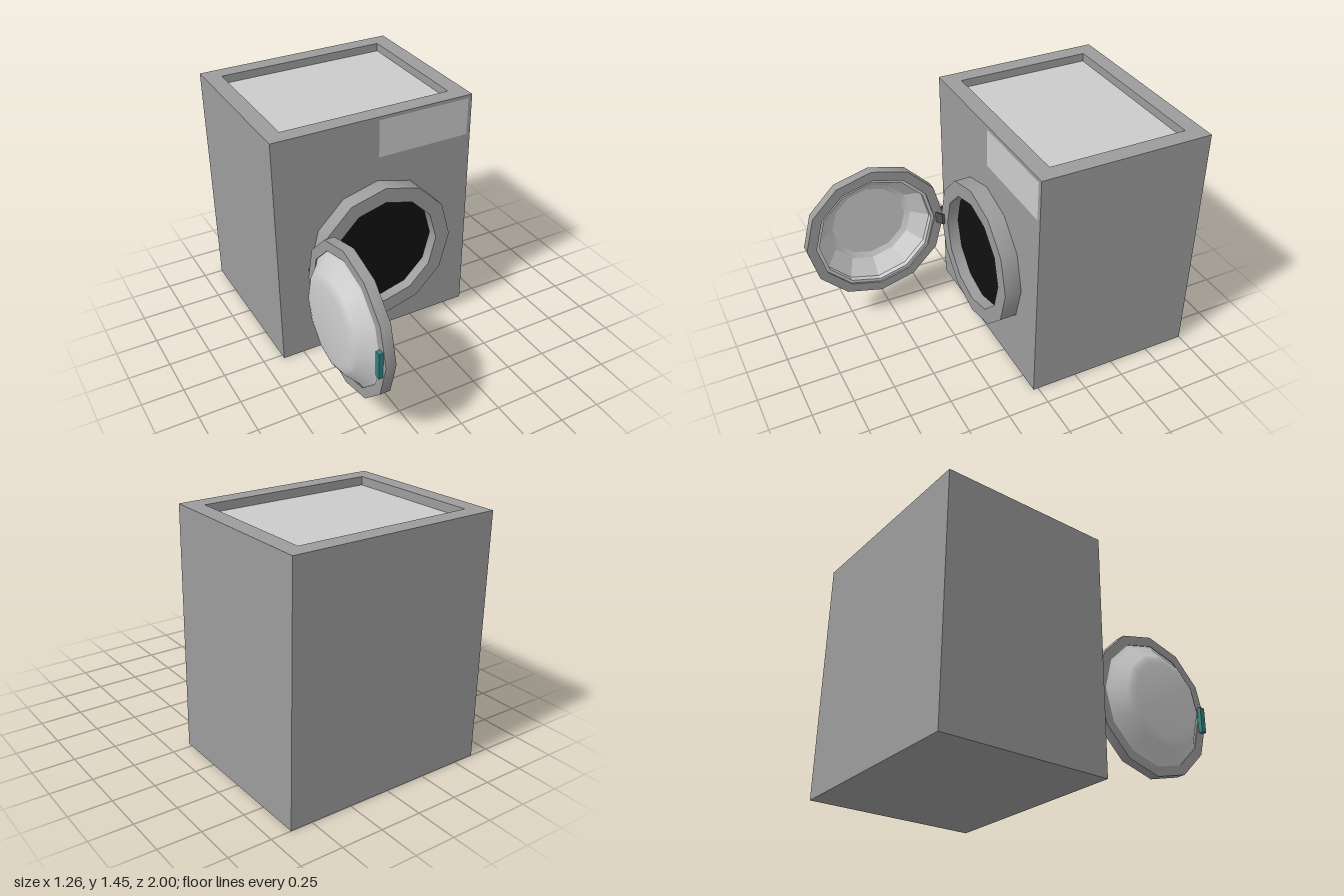
import * as THREE from 'three';
import { toCreasedNormals } from 'three/addons/utils/BufferGeometryUtils.js';

const mat = (color, side = THREE.FrontSide) => new THREE.MeshStandardMaterial({ color, side });
const casing = mat(0x9c9c9c);
const pale = mat(0xcccccc);
const paleShell = mat(0xcccccc, THREE.DoubleSide);
const black = mat(0x111111);
const metal = mat(0x555555, THREE.DoubleSide);
const teal = mat(0x357f7f);

const SIDES = 12;

function add(parent, name, geometry, material, x = 0, y = 0, z = 0) {
  const mesh = new THREE.Mesh(geometry, material);
  mesh.name = name;
  mesh.position.set(x, y, z);
  parent.add(mesh);
  return mesh;
}

// Twelve-sided turned part, smooth around the rim and sharp at its corners
function turned(profile, crease = 0.6) {
  const points = profile.map(([r, h]) => new THREE.Vector2(r, h));
  return toCreasedNormals(new THREE.LatheGeometry(points, SIDES), crease);
}

// Square-edged ring profile between two radii and two heights
const ringProfile = (inner, outer, h0, h1) =>
  [[inner, h0], [outer, h0], [outer, h1], [inner, h1], [inner, h0]];

// Flat-sided skin through rectangles given as [halfWidth, halfDepth, y]
function rectangleLoft(sections) {
  const corners = [[1, 1], [1, -1], [-1, -1], [-1, 1]];
  const positions = [];
  const index = [];
  for (const [w, d, y] of sections) {
    for (const [sx, sz] of corners) positions.push(sx * w, y, sz * d);
  }
  for (let s = 0; s < sections.length - 1; s++) {
    for (let i = 0; i < 4; i++) {
      const a = s * 4 + i;
      const b = s * 4 + (i + 1) % 4;
      index.push(a, b, b + 4, a, b + 4, a + 4);
    }
  }
  // Bottom cap
  index.push(0, 2, 1, 0, 3, 2);
  const geometry = new THREE.BufferGeometry();
  geometry.setAttribute('position', new THREE.Float32BufferAttribute(positions, 3));
  geometry.setIndex(index);
  const flat = geometry.toNonIndexed();
  flat.computeVertexNormals();
  return flat;
}

// Bent strip: a path of [x, z] points given thickness and raised along y
function bentStrip(path, thickness, height) {
  const shape = new THREE.Shape();
  const half = thickness / 2;
  const offsets = path.map(([x, z], i) => {
    const p = path[Math.max(i - 1, 0)];
    const q = path[Math.min(i + 1, path.length - 1)];
    const n = new THREE.Vector2(-(q[1] - p[1]), q[0] - p[0]).normalize().multiplyScalar(half);
    return [new THREE.Vector2(x + n.x, -z - n.y), new THREE.Vector2(x - n.x, -z + n.y)];
  });
  shape.setFromPoints([...offsets.map(o => o[0]), ...offsets.map(o => o[1]).reverse()]);
  const geometry = new THREE.ExtrudeGeometry(shape, { depth: height, bevelEnabled: false });
  return geometry.rotateX(-Math.PI / 2);
}

export function createModel() {
  const model = new THREE.Group();
  model.name = 'washingMachine';

  // Cabinet with a shallow recess in its top
  const recessY = 1.4;
  add(model, 'cabinet', rectangleLoft([
    [0.63, 0.515, 0], [0.63, 0.515, 1.45], [0.53, 0.415, 1.45], [0.53, 0.415, recessY],
  ]), casing, 0, 0, -0.485);
  add(model, 'topPanel', new THREE.PlaneGeometry(1.06, 0.83).rotateX(-Math.PI / 2),
    pale, 0, recessY, -0.485);

  // Flush control panel
  add(model, 'controlPanel', new THREE.PlaneGeometry(0.585, 0.23), pale, 0.3125, 1.315, 0.032);

  // Round opening
  const opening = new THREE.Group();
  opening.name = 'opening';
  opening.position.set(0.01, 0.612, 0.03);
  model.add(opening);
  add(opening, 'openingRing',
    turned(ringProfile(0.347, 0.44, 0, 0.1)).rotateX(Math.PI / 2), casing);
  add(opening, 'drumDarkness',
    new THREE.CircleGeometry(0.347, SIDES), black, 0, 0, 0.03);

  // Open door: turned around y, then tipped so its outside faces -x
  const door = new THREE.Group();
  door.name = 'door';
  door.position.set(-0.425, 0.61, 0.56);
  model.add(door);
  const tip = geometry => geometry.rotateZ(Math.PI / 2);
  add(door, 'doorRing', tip(turned(ringProfile(0.38, 0.44, 0, 0.06))), casing);
  add(door, 'doorGlassOuter', tip(turned([
    [0.36, 0.012], [0.38, 0.012], [0.38, 0.055], [0.355, 0.068],
    [0.285, 0.135], [0.265, 0.146], [0.23, 0.153], [0, 0.153],
  ], 0.75)), paleShell);
  add(door, 'doorGlassInner', tip(turned([
    [0, 0.145], [0.235, 0.145], [0.27, 0.13], [0.36, 0.045], [0.36, 0.012],
  ], 0.3)), paleShell);
  add(door, 'doorHandle', new THREE.BoxGeometry(0.025, 0.16, 0.034), teal, -0.0725, 0, 0.395);

  // Two bent hinge leaves joining ring and door
  const leaves = [
    [[-0.415, 0.067], [-0.467, 0.095], [-0.467, 0.13]],
    [[-0.43, 0.17], [-0.384, 0.143], [-0.384, 0.115]],
  ];
  leaves.forEach((path, i) => {
    add(model, i ? 'frontHingeLeaf' : 'rearHingeLeaf', bentStrip(path, 0.008, 0.07), metal, 0, 0.577, 0);
  });

  return model;
}
